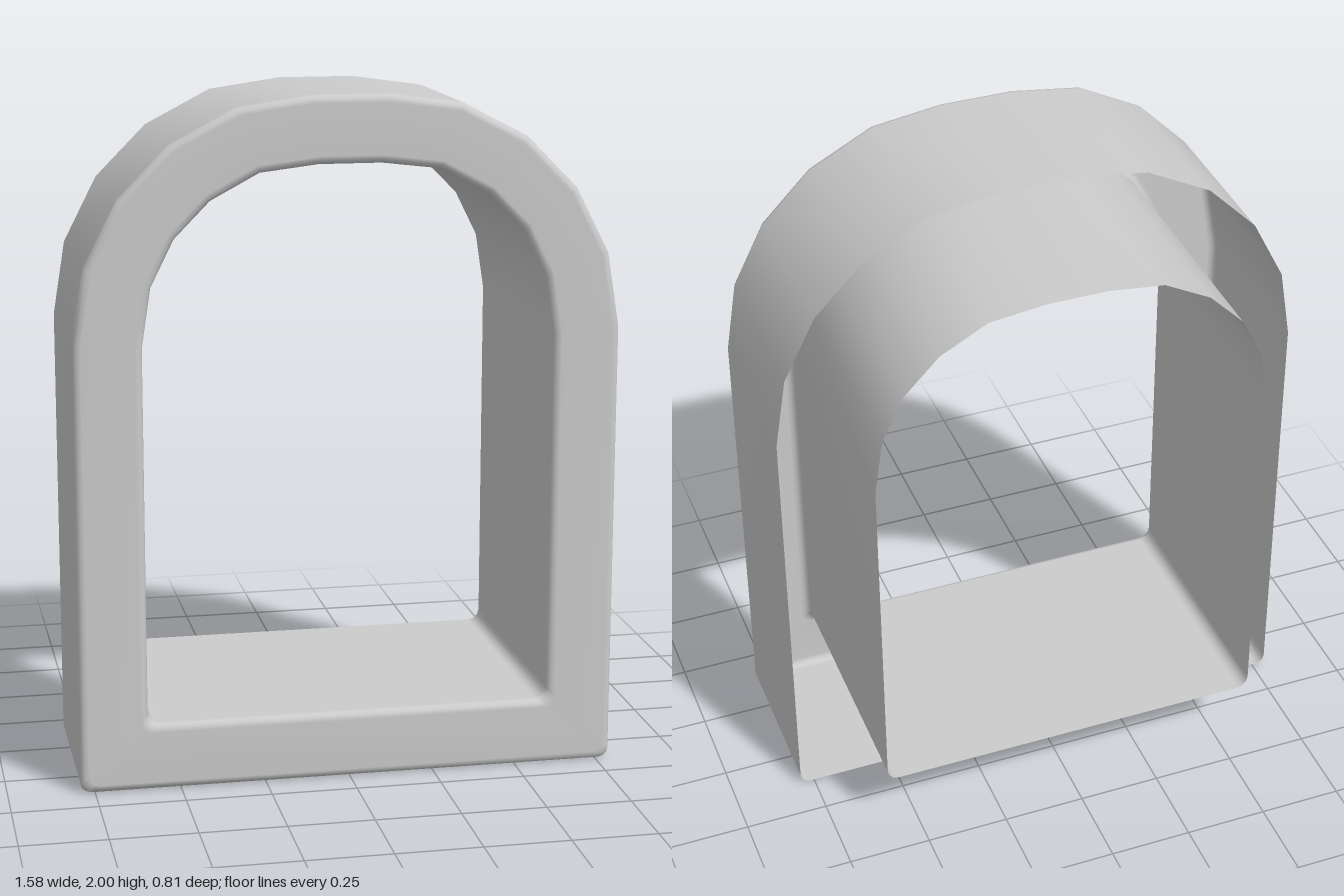
import * as THREE from 'three';

// Arched outline, counterclockwise from the front: rounded bottom corners, then the arch
function archOutline(rightArch, bottom, radius) {
  const halfWidth = rightArch[0][0];
  const corner = [];
  for (let i = 0; i <= 3; i++) {
    const a = -Math.PI / 2 + (i / 3) * Math.PI / 2;
    corner.push([halfWidth - radius + radius * Math.cos(a), bottom + radius + radius * Math.sin(a)]);
  }
  const right = [...corner, ...rightArch];
  const left = right.map(([x, y]) => [-x, y]).reverse();
  return [...right, ...left];
}

// Skins a strip of closed rings; each profile step is [blend from inner to outer, z]
function skinRings(inner, outer, profile) {
  const n = inner.length;
  const positions = [];
  const index = [];
  for (const [t, z] of profile) {
    for (let j = 0; j < n; j++) {
      positions.push(
        THREE.MathUtils.lerp(inner[j][0], outer[j][0], t),
        THREE.MathUtils.lerp(inner[j][1], outer[j][1], t),
        z
      );
    }
  }
  for (let i = 0; i < profile.length - 1; i++) {
    for (let j = 0; j < n; j++) {
      const k = (j + 1) % n;
      const a = i * n + j, b = a + n, c = (i + 1) * n + k, d = i * n + k;
      index.push(a, b, c, a, c, d);
    }
  }
  const geometry = new THREE.BufferGeometry();
  geometry.setAttribute('position', new THREE.Float32BufferAttribute(positions, 3));
  geometry.setIndex(index);
  geometry.computeVertexNormals();
  return geometry;
}

export function createModel() {
  const group = new THREE.Group();
  group.name = 'archedWindowFrame';

  const outer = archOutline(
    [[0.792, 1.315], [0.757, 1.53], [0.66, 1.72], [0.512, 1.87], [0.32, 1.97], [0.11, 2]], 0, 0.03);
  const inner = archOutline(
    [[0.593, 1.30], [0.567, 1.47], [0.5, 1.605], [0.397, 1.71], [0.257, 1.785], [0.09, 1.805]], 0.2, 0.035);

  // Long inner sleeve, rounded front rim, shorter outer wall; open at the back
  const front = 0.405, bevel = 0.025, width = 0.2;
  const profile = [[0, -front]];
  for (let i = 0; i <= 3; i++) {
    const a = (i / 3) * Math.PI / 2;
    profile.push([(bevel / width) * (1 - Math.cos(a)), front - bevel * (1 - Math.sin(a))]);
  }
  for (let i = 3; i >= 0; i--) {
    const a = (i / 3) * Math.PI / 2;
    profile.push([1 - (bevel / width) * (1 - Math.cos(a)), front - bevel * (1 - Math.sin(a))]);
  }
  profile.push([1, -0.125]);

  const material = new THREE.MeshStandardMaterial({ color: 0xcccccc, side: THREE.DoubleSide });
  const frame = new THREE.Mesh(skinRings(inner, outer, profile), material);
  frame.name = 'frameShell';
  group.add(frame);
  return group;
}
